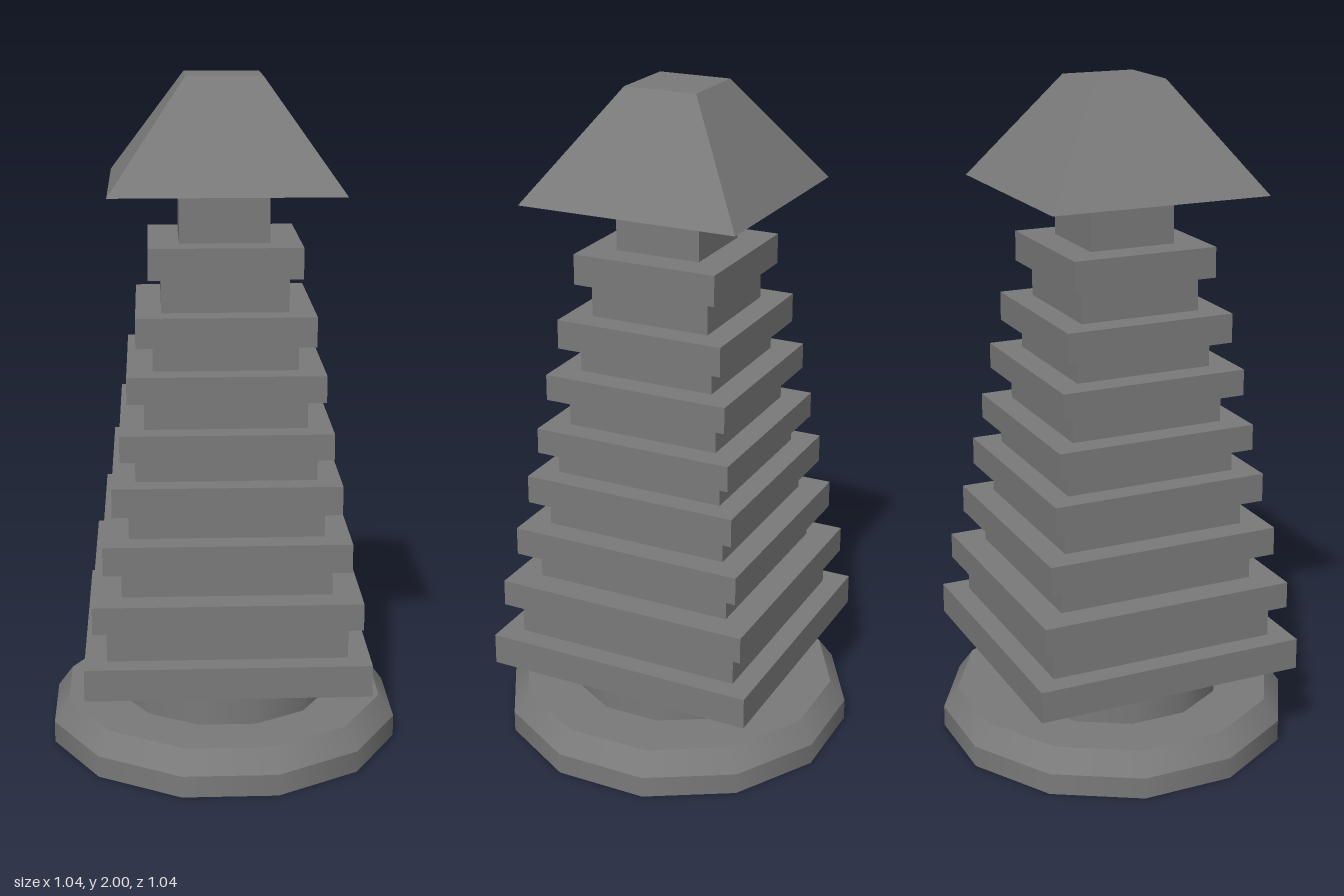
import * as THREE from 'three';

const stone = new THREE.MeshStandardMaterial({ color: 0x7a7a7a, side: THREE.DoubleSide });
stone.name = 'grey stone';

// Open square shell from [half width, height] pairs, with flat faces
function squareShell(name, profile) {
  const points = profile.map(([w, y]) => new THREE.Vector2(w * Math.SQRT2, y));
  const geometry = new THREE.LatheGeometry(points, 4, Math.PI / 4).toNonIndexed();
  geometry.computeVertexNormals();
  const mesh = new THREE.Mesh(geometry, stone);
  mesh.name = name;
  return mesh;
}

// One smooth twelve-sided band between two [radius, height] pairs
function roundBand(name, ...profile) {
  const points = profile.map(([r, y]) => new THREE.Vector2(r, y));
  const mesh = new THREE.Mesh(new THREE.LatheGeometry(points, 12, Math.PI / 12), stone);
  mesh.name = name;
  return mesh;
}

export function createModel() {
  const model = new THREE.Group();
  model.name = 'steppedTower';

  // Hollow round foot and collar
  const foot = new THREE.Group();
  foot.name = 'foot';
  foot.add(
    roundBand('footRim', [0.537, 0], [0.537, 0.065]),
    roundBand('footBevel', [0.537, 0.065], [0.49, 0.13]),
    roundBand('footTop', [0.49, 0.13], [0.328, 0.13]),
    roundBand('collar', [0.328, 0.13], [0.328, 0.255]),
  );
  model.add(foot);

  // Tiers: ledge bottom, ledge top, ledge half width, half width of the wall above
  const tiers = [
    [0.255, 0.35, 0.415, 0.35],
    [0.45, 0.53, 0.39, 0.306],
    [0.615, 0.70, 0.358, 0.283],
    [0.78, 0.865, 0.33, 0.262],
    [0.936, 1.013, 0.306, 0.235],
    [1.10, 1.178, 0.284, 0.209],
    [1.255, 1.342, 0.257, 0.183],
    [1.443, 1.533, 0.22, 0.13],
  ];
  const roofBottom = 1.69;
  let inner = 0.232;
  tiers.forEach(([y0, y1, ledge, wall], i) => {
    const next = i + 1 < tiers.length ? tiers[i + 1][0] : roofBottom;
    model.add(
      squareShell(`ledge${i + 1}`, [[inner, y0], [ledge, y0], [ledge, y1], [wall, y1]]),
      squareShell(`wall${i + 1}`, [[wall, y1], [wall, next]]),
    );
    inner = wall;
  });

  // Flat-topped pyramid roof
  model.add(squareShell('roof', [[inner, roofBottom], [0.33, roofBottom], [0.11, 2], [0, 2]]));
  return model;
}
